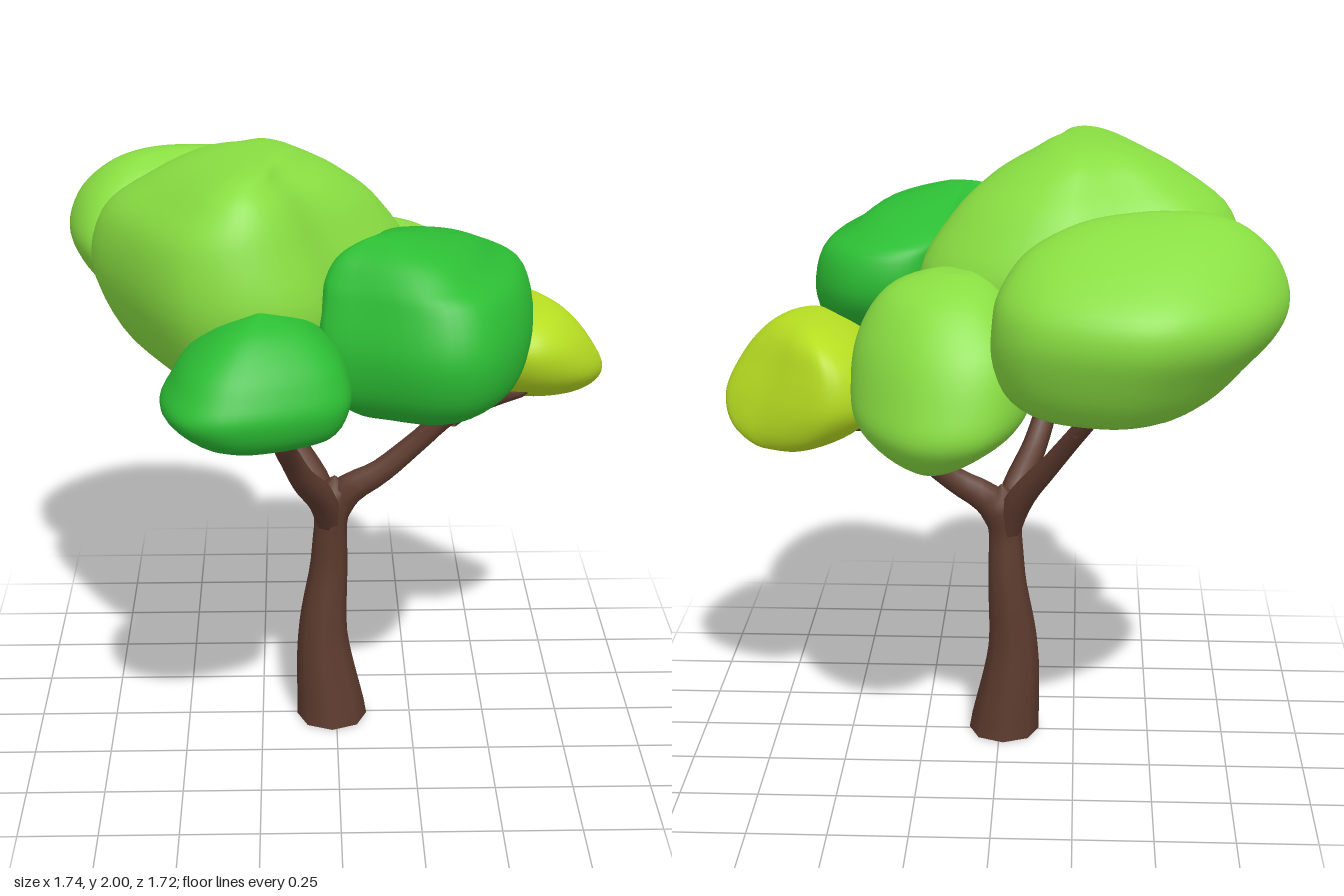
import * as THREE from 'three';
import { mergeVertices } from 'three/addons/utils/BufferGeometryUtils.js';

const bark = new THREE.MeshStandardMaterial({ color: 0x5c3a2e, side: THREE.DoubleSide });
const lightLeaf = new THREE.MeshStandardMaterial({ color: 0x89de42 });
const darkLeaf = new THREE.MeshStandardMaterial({ color: 0x2cbd34 });
const yellowLeaf = new THREE.MeshStandardMaterial({ color: 0xb8de22 });

// Tapered limb along a curve, open at its foot; each point is [x, y, z, radius]
function limbGeometry(points, rows = 20) {
  const curve = new THREE.CatmullRomCurve3(points.map(([x, y, z]) => new THREE.Vector3(x, y, z)));
  const sides = 8;
  const geo = new THREE.TubeGeometry(curve, rows, 1, sides);
  const pos = geo.attributes.position;
  const p = new THREE.Vector3();
  const n = new THREE.Vector3();
  for (let i = 0; i < pos.count; i++) {
    const u = Math.floor(i / (sides + 1)) / rows;
    const t = curve.getUtoTmapping(u) * (points.length - 1);
    const k = Math.min(Math.floor(t), points.length - 2);
    const r = u === 1 ? 0.001 : THREE.MathUtils.lerp(points[k][3], points[k + 1][3], t - k);
    n.fromBufferAttribute(geo.attributes.normal, i);
    p.fromBufferAttribute(pos, i).addScaledVector(n, r - 1);
    pos.setXYZ(i, p.x, u === 0 && points[0][1] === 0 ? 0 : p.y, p.z);
  }
  geo.deleteAttribute('uv');
  geo.deleteAttribute('normal');
  const merged = mergeVertices(geo, 1e-5);
  merged.computeVertexNormals();
  return merged;
}

// Foliage clump: a plan outline [x, z], clockwise from above, fitted at each
// height into the bounds [y, xMin, xMax, zMin, zMax]; tilt leans it along the x-z diagonal
function clumpGeometry(plan, rings, tilt = 0) {
  const around = 48;
  const rows = 40;
  const outline = new THREE.CatmullRomCurve3(plan.map(([x, z]) => new THREE.Vector3(x, 0, z)), true)
    .getPoints(around).slice(0, around);
  const box = new THREE.Box3().setFromPoints(outline);
  const size = box.getSize(new THREE.Vector3());
  const centre = box.getCenter(new THREE.Vector3());

  // Close both ends with a pole
  const pole = ([y, x0, x1, z0, z1], dy) => {
    const x = (x0 + x1) / 2, z = (z0 + z1) / 2;
    return [y + dy, x, x, z, z];
  };
  const all = [pole(rings[0], -0.005), ...rings, pole(rings[rings.length - 1], 0.008)];
  const xs = new THREE.CatmullRomCurve3(all.map((r) => new THREE.Vector3(r[1], r[0], r[2])), false, 'catmullrom');
  const zs = new THREE.CatmullRomCurve3(all.map((r) => new THREE.Vector3(r[3], r[0], r[4])), false, 'catmullrom');

  const verts = [];
  const index = [];
  for (let j = 0; j <= rows; j++) {
    const a = xs.getPoint(j / rows);
    const b = zs.getPoint(j / rows);
    for (const o of outline) {
      const x = THREE.MathUtils.lerp(a.x, a.z, (o.x - box.min.x) / size.x);
      const z = THREE.MathUtils.lerp(b.x, b.z, (o.z - box.min.z) / size.z);
      verts.push(x, a.y + tilt * (x - z - centre.x + centre.z), z);
    }
  }
  for (let j = 0; j < rows; j++) {
    for (let i = 0; i < around; i++) {
      const a = j * around + i;
      const b = j * around + (i + 1) % around;
      index.push(a, a + around, b, b, a + around, b + around);
    }
  }
  const geo = new THREE.BufferGeometry();
  geo.setAttribute('position', new THREE.Float32BufferAttribute(verts, 3));
  geo.setIndex(index);
  const merged = mergeVertices(geo, 1e-5);
  merged.computeVertexNormals();
  return merged;
}

const limbs = {
  trunk: [[-0.015, 0, 0.01, 0.118], [-0.045, 0.3, 0, 0.083], [-0.025, 0.55, -0.008, 0.062],
    [-0.018, 0.72, 0.003, 0.053], [-0.01, 0.81, 0, 0.066], [-0.005, 0.88, 0, 0.035]],
  leftBranch: [[-0.015, 0.72, 0, 0.045], [0.03, 0.82, 0, 0.056], [0.14, 0.89, 0, 0.043],
    [0.26, 0.99, -0.01, 0.037], [0.36, 1.085, 0, 0.035], [0.47, 1.145, 0.03, 0.03], [0.62, 1.215, 0.1, 0.015]],
  leftTwig: [[0.37, 1.07, 0, 0.025], [0.45, 1.1, -0.06, 0.023], [0.54, 1.105, -0.17, 0.014]],
  frontBranch: [[-0.02, 0.7, 0, 0.042], [-0.05, 0.83, 0.08, 0.05], [-0.11, 0.95, 0.2, 0.041],
    [-0.145, 1.05, 0.28, 0.037], [-0.165, 1.14, 0.38, 0.033], [-0.15, 1.25, 0.43, 0.03], [-0.15, 1.36, 0.45, 0.02]],
  backBranch: [[-0.02, 0.7, 0, 0.042], [-0.06, 0.83, -0.04, 0.048], [-0.17, 1.0, -0.14, 0.035],
    [-0.27, 1.16, -0.25, 0.03], [-0.39, 1.34, -0.4, 0.018]],
  backTwig: [[-0.25, 1.13, -0.24, 0.022], [-0.33, 1.23, -0.29, 0.02], [-0.39, 1.3, -0.32, 0.012]],
};

const clumps = {
  crownClump: [lightLeaf,
    [[-0.76, 0.01], [-0.73, -0.12], [-0.62, -0.25], [-0.39, -0.3], [-0.12, -0.37], [0.13, -0.27],
      [0.25, -0.09], [0.18, 0.14], [0.04, 0.31], [-0.05, 0.49], [-0.17, 0.58], [-0.32, 0.6],
      [-0.48, 0.53], [-0.67, 0.23]],
    [[1.25, -0.36, -0.06, -0.06, 0.3], [1.29, -0.5, 0.07, -0.18, 0.43], [1.4, -0.66, 0.19, -0.29, 0.54],
      [1.6, -0.76, 0.25, -0.37, 0.6], [1.79, -0.72, 0.14, -0.3, 0.57], [1.9, -0.58, 0.02, -0.21, 0.52],
      [1.96, -0.46, -0.09, -0.14, 0.46], [1.99, -0.35, -0.16, -0.04, 0.37]]],
  backRightClump: [lightLeaf,
    [[0, -0.55], [-0.1, -0.36], [-0.4, -0.2], [-0.72, -0.14], [-0.81, -0.2], [-0.87, -0.37],
      [-0.86, -0.5], [-0.75, -0.7], [-0.55, -0.84], [-0.37, -0.86], [-0.13, -0.79], [-0.02, -0.67]],
    [[1.285, -0.52, -0.14, -0.69, -0.36], [1.34, -0.65, -0.04, -0.76, -0.23], [1.44, -0.75, 0, -0.82, -0.16],
      [1.55, -0.84, 0, -0.86, -0.14], [1.65, -0.87, -0.02, -0.83, -0.14], [1.76, -0.83, -0.1, -0.7, -0.2],
      [1.84, -0.74, -0.25, -0.56, -0.28], [1.875, -0.64, -0.42, -0.46, -0.36]], 0.04],
  backLeftClump: [lightLeaf,
    [[-0.11, -0.43], [-0.02, -0.63], [0.1, -0.68], [0.24, -0.65], [0.38, -0.51], [0.44, -0.35],
      [0.4, -0.13], [0.3, -0.02], [0.1, 0.02], [-0.05, -0.1]],
    [[1.1, 0.14, 0.25, -0.55, -0.35], [1.14, 0.04, 0.34, -0.62, -0.22], [1.22, -0.07, 0.42, -0.68, -0.08],
      [1.32, -0.12, 0.44, -0.665, 0], [1.47, -0.12, 0.42, -0.605, 0], [1.6, -0.03, 0.34, -0.49, -0.1],
      [1.655, 0.05, 0.22, -0.36, -0.2]]],
  frontLeftClump: [darkLeaf,
    [[0.35, -0.13], [0.49, -0.09], [0.59, 0.05], [0.6, 0.21], [0.54, 0.47], [0.42, 0.64],
      [0.28, 0.67], [0.07, 0.58], [-0.06, 0.5], [0.02, 0.35], [0.14, 0.12], [0.24, -0.09]],
    [[1.255, 0.15, 0.38, 0.25, 0.45], [1.28, 0.06, 0.46, 0.15, 0.56], [1.36, -0.02, 0.56, 0.02, 0.65],
      [1.5, -0.06, 0.6, -0.11, 0.68], [1.64, -0.05, 0.57, -0.11, 0.63], [1.7, -0.04, 0.48, -0.04, 0.58],
      [1.76, 0, 0.38, 0.13, 0.51], [1.8, 0.08, 0.22, 0.3, 0.42]]],
  frontClump: [darkLeaf,
    [[-0.38, 0.42], [-0.2, 0.38], [0, 0.45], [0.03, 0.58], [0.01, 0.71], [-0.1, 0.79],
      [-0.34, 0.86], [-0.46, 0.82], [-0.52, 0.7], [-0.51, 0.52]],
    [[1.24, -0.28, -0.16, 0.52, 0.64], [1.29, -0.42, -0.02, 0.44, 0.8], [1.38, -0.52, 0.03, 0.38, 0.86],
      [1.46, -0.49, 0.02, 0.38, 0.83], [1.53, -0.44, -0.02, 0.4, 0.78], [1.6, -0.35, -0.1, 0.45, 0.7],
      [1.635, -0.26, -0.2, 0.52, 0.62]]],
  leftClump: [yellowLeaf,
    [[0.42, -0.34], [0.51, -0.4], [0.63, -0.345], [0.73, -0.25], [0.81, -0.16], [0.86, -0.07],
      [0.84, 0.03], [0.75, 0.15], [0.61, 0.2], [0.45, 0.12], [0.36, -0.05], [0.36, -0.2]],
    [[1.085, 0.57, 0.75, -0.3, -0.2], [1.14, 0.43, 0.84, -0.36, -0.03], [1.23, 0.34, 0.865, -0.4, 0.14],
      [1.34, 0.36, 0.81, -0.39, 0.2], [1.42, 0.44, 0.74, -0.34, 0.16], [1.46, 0.53, 0.67, -0.23, 0.05]]],
};

export function createModel() {
  const tree = new THREE.Group();
  tree.name = 'tree';
  const add = (name, geo, material) => {
    const mesh = new THREE.Mesh(geo, material);
    mesh.name = name;
    tree.add(mesh);
  };

  // Trunk and branches
  for (const [name, points] of Object.entries(limbs)) add(name, limbGeometry(points), bark);

  // Foliage
  for (const [name, [material, plan, rings, tilt]] of Object.entries(clumps)) {
    add(name, clumpGeometry(plan, rings, tilt), material);
  }
  return tree;
}
